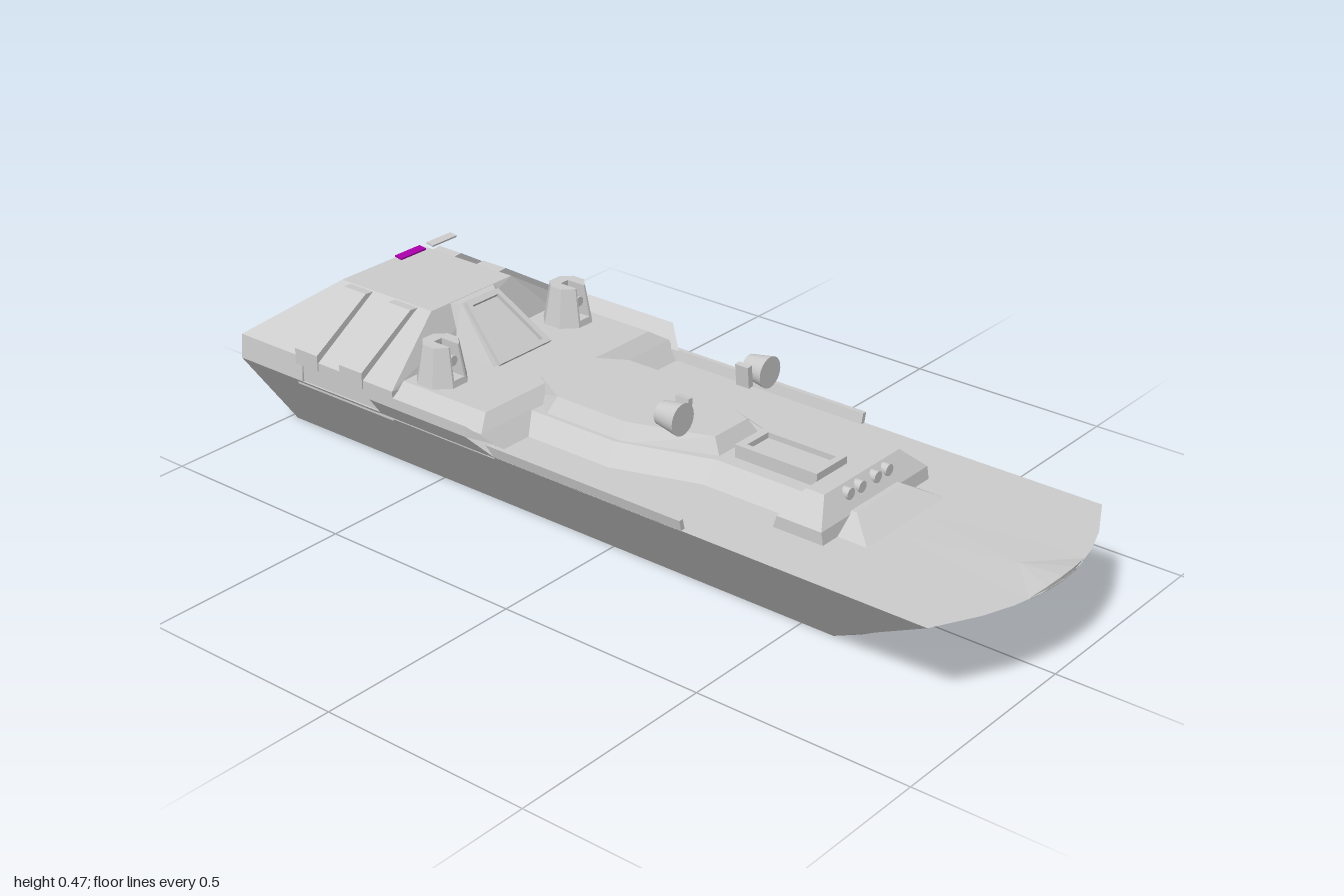
import * as THREE from 'three';

const grey = new THREE.MeshStandardMaterial({ color: 0xcccccc, flatShading: true });
const smooth = new THREE.MeshStandardMaterial({ color: 0xcccccc });
const purple = new THREE.MeshStandardMaterial({ color: 0xaa00aa });

// Mirror a half outline of [x, z], listed back to front on the +x side.
const mirror = (half) => [...half, ...half.filter((p) => p[0] > 0).reverse().map(([x, z]) => [-x, z])];

// Skin stacked level outlines, each { y, pts }, and close both ends with a fan.
function loft(levels) {
  const rings = levels.map(({ y, pts }) => pts.map(([x, z]) => new THREE.Vector3(x, typeof y === 'function' ? y(x, z) : y, z)));
  const v = [];
  const tri = (...ps) => ps.forEach((p) => v.push(p.x, p.y, p.z));
  const middle = (r) => r.reduce((s, p) => s.add(p), new THREE.Vector3()).divideScalar(r.length);
  const n = rings[0].length, last = rings[rings.length - 1];
  const c0 = middle(rings[0]), c1 = middle(last);
  for (let i = 0; i < n; i++) {
    const j = (i + 1) % n;
    tri(c0, rings[0][i], rings[0][j]);
    tri(c1, last[j], last[i]);
    for (let k = 0; k + 1 < rings.length; k++) {
      const lo = rings[k], hi = rings[k + 1];
      tri(lo[i], hi[i], lo[j]);
      tri(lo[j], hi[i], hi[j]);
    }
  }
  const g = new THREE.BufferGeometry();
  g.setAttribute('position', new THREE.Float32BufferAttribute(v, 3));
  g.computeVertexNormals();
  return g;
}

const shapeOf = (pts) => new THREE.Shape(pts.map(([x, y]) => new THREE.Vector2(x, y)));
const pathOf = (pts) => new THREE.Path(pts.map(([x, y]) => new THREE.Vector2(x, y)));

// Extrude an x-y section from z0 forward to z1.
function section(shape, z0, z1) {
  const g = new THREE.ExtrudeGeometry(shape, { depth: z1 - z0, bevelEnabled: false, curveSegments: 10 });
  return g.translate(0, 0, z0);
}

// Move every vertex by a rule.
function bend(g, rule) {
  const p = g.attributes.position, v = new THREE.Vector3();
  for (let i = 0; i < p.count; i++) {
    v.fromBufferAttribute(p, i);
    rule(v);
    p.setXYZ(i, v.x, v.y, v.z);
  }
  g.computeVertexNormals();
  return g;
}

export function createModel() {
  const model = new THREE.Group();
  const add = (name, geometry, material = grey, parent = model) => {
    const m = new THREE.Mesh(geometry, material);
    m.name = name;
    parent.add(m);
    return m;
  };
  const block = (name, levels) => add(name, loft(levels.map(([y, half]) => ({ y, pts: mirror(half) }))));

  // Hull with flared sides and a raked, rounded bow
  block('hull', [
    [0, [[0.16, -0.8], [0.16, 0.58], [0.12, 0.62], [0.085, 0.645], [0.045, 0.66], [0, 0.665]]],
    [0.212, [[0.315, -0.8], [0.315, 0.9], [0.21, 0.955], [0.14, 0.98], [0.07, 0.995], [0, 1]]],
  ]);
  const bow = mirror([[0.05, 0.66], [0.1, 0.9], [0.1, 0.987], [0.05, 0.996], [0, 0.999]]);
  add('bowMound', loft([
    { y: 0.208, pts: bow },
    { y: (x, z) => 0.212 + (z > 0.7 ? 0.009 * (1 - (x / 0.1) ** 2) : 0), pts: bow },
  ]));

  // Stern with an open bay and four exhaust holes; the upper part rakes forward
  const outline = mirror([[0.16, 0], [0.315, 0.212], [0.31, 0.27], [0.13, 0.385]]);
  const stern = shapeOf(outline);
  stern.holes.push(pathOf(mirror([[0.2, 0.14], [0.24, 0.24], [0.222, 0.27], [0.125, 0.36]])));
  const exhausts = [-0.135, -0.055, 0.055, 0.135];
  for (const x of exhausts) stern.holes.push(new THREE.Path().absarc(x, 0.07, 0.027, 0, Math.PI * 2));
  add('stern', bend(section(stern, -0.98, -0.78), (v) => {
    if (v.z < -0.9 && v.y > 0.27) v.z += (v.y - 0.27) * 1.3;
  }));

  // Sloping bay floor with four fins
  add('bayRamp', loft([
    { y: 0.12, pts: mirror([[0.2, -0.97], [0.2, -0.78]]) },
    { y: (x, z) => (z < -0.9 ? 0.145 : 0.235), pts: mirror([[0.2, -0.97], [0.23, -0.78]]) },
  ]));
  for (const x of [-0.11, -0.037, 0.037, 0.11]) {
    const fin = add('bayFin', new THREE.BoxGeometry(0.012, 0.018, 0.235));
    fin.position.set(x, 0.197, -0.892);
    fin.rotation.x = -0.44;
  }

  // Engine housing with a sloped front and raised ribs on its shoulders
  const housing = shapeOf(mirror([[0.31, 0.2], [0.31, 0.27], [0.13, 0.385]]));
  add('engineHousing', bend(section(housing, -0.8, -0.5), (v) => {
    if (v.z > -0.6 && v.y > 0.28) v.z -= 0.05;
  }));
  for (const s of [1, -1]) {
    const rib = [[0.125, 0.383], [0.155, 0.385], [0.313, 0.288], [0.313, 0.25], [0.3, 0.25]].map(([x, y]) => [x * s, y]);
    for (const z of [-0.8, -0.66]) add('shoulderRib', section(shapeOf(rib), z, z + 0.07));
  }

  // Bridge with a framed, sunken window
  block('bridge', [
    [0.275, [[0.1, -0.58], [0.1, -0.52], [0.095, -0.395]]],
    [0.384, [[0.095, -0.58], [0.07, -0.55], [0.055, -0.53]]],
  ]);
  const frame = shapeOf(mirror([[0.084, 0], [0.052, 0.165]]));
  frame.holes.push(pathOf(mirror([[0.066, 0.012], [0.042, 0.152]])));
  const window = add('windowFrame', section(frame, 0, 0.01));
  window.position.set(0, 0.279, -0.395);
  window.rotation.x = -0.9;

  // Middle deck, chamfered at the front and sides
  block('middleDeck', [
    [0.205, [[0.312, -0.54], [0.312, -0.2]]],
    [0.252, [[0.312, -0.54], [0.312, -0.235]]],
    [0.28, [[0.27, -0.54], [0.27, -0.26]]],
  ]);

  // Flared side plates and low deck rails
  for (const s of [1, -1]) {
    const flip = (pts) => shapeOf(pts.map(([x, y]) => [x * s, y]));
    add('sidePlate', bend(section(flip([[0.3, 0.212], [0.315, 0.212], [0.345, 0.254], [0.345, 0.279], [0.305, 0.236]]), -0.535, -0.2), (v) => {
      if (v.z > -0.3 && v.y > 0.24) v.z -= 0.05;
    }));
    add('deckRail', section(flip([[0.303, 0.21], [0.314, 0.21], [0.32, 0.236], [0.309, 0.236]]), -0.22, 0.31));
  }

  // Forward superstructure with a raised centre platform
  block('superstructure', [
    [0.21, [[0.2, -0.27], [0.2, 0.02], [0.135, 0.22], [0.135, 0.47]]],
    [0.25, [[0.155, -0.27], [0.155, 0], [0.085, 0.22], [0.085, 0.47]]],
  ]);
  block('centrePlatform', [
    [0.245, [[0.08, -0.295], [0.148, -0.2], [0.148, 0.01], [0.07, 0.215]]],
    [0.283, [[0.065, -0.285], [0.12, -0.19], [0.12, 0], [0.055, 0.19]]],
  ]);

  // Deck hatch: rim around a sunken panel
  const rim = shapeOf([[-0.052, -0.45], [0.052, -0.45], [0.052, -0.24], [-0.052, -0.24]]);
  rim.holes.push(pathOf([[-0.036, -0.434], [0.036, -0.434], [0.036, -0.26], [-0.036, -0.26]]));
  add('hatchRim', section(rim, 0.245, 0.28).rotateX(-Math.PI / 2));
  add('hatchPanel', new THREE.BoxGeometry(0.075, 0.02, 0.18)).position.set(0, 0.257, 0.347);

  // Front console with four lamps and a wedge ahead of it
  block('console', [
    [0.21, [[0.185, 0.44], [0.185, 0.565]]],
    [0.24, [[0.185, 0.45], [0.185, 0.56]]],
    [0.29, [[0.13, 0.48], [0.13, 0.525]]],
  ]);
  block('consoleWedge', [
    [0.21, [[0.14, 0.53], [0.14, 0.64]]],
    [0.245, [[0.08, 0.53], [0.08, 0.57]]],
  ]);
  for (const x of [-0.067, -0.027, 0.027, 0.067]) {
    add('consoleLamp', new THREE.CylinderGeometry(0.013, 0.013, 0.02, 16).rotateX(Math.PI / 2), smooth).position.set(x, 0.273, 0.536);
  }

  // Gun towers: tapered octagons with a slot for the barrel
  const octagon = (r) => Array.from({ length: 8 }, (_, i) => {
    const a = -Math.PI / 2 + Math.PI / 8 + (i * Math.PI) / 4;
    return [r * Math.cos(a), r * Math.sin(a)];
  });
  const slotted = shapeOf([...octagon(0.056), [-0.016, -0.0517], [-0.016, 0.012], [0.016, 0.012], [0.016, -0.0517]]);
  for (const s of [1, -1]) {
    const tower = new THREE.Group();
    tower.name = 'gunTower';
    tower.position.set(0.207 * s, 0.275, -0.448);
    add('towerBase', new THREE.CylinderGeometry(0.056, 0.06, 0.02, 8).rotateY(Math.PI / 8), grey, tower).position.y = 0.01;
    add('towerBody', bend(section(slotted, 0, 0.075).rotateX(-Math.PI / 2), (v) => {
      const k = 1 - 3.3 * v.y;
      v.x *= k;
      v.z *= k;
    }), grey, tower).position.y = 0.02;
    add('barrel', new THREE.CylinderGeometry(0.012, 0.012, 0.05, 12).rotateX(Math.PI / 2), smooth, tower).position.set(0, 0.058, 0.012);
    model.add(tower);
  }

  // Hovering searchlights with side brackets
  for (const s of [1, -1]) {
    add('searchlight', new THREE.CylinderGeometry(0.036, 0.026, 0.056, 24).rotateX(Math.PI / 2), smooth).position.set(0.147 * s, 0.353, 0.15);
    const bracket = add('searchlightBracket', new THREE.BoxGeometry(0.014, 0.05, 0.034));
    bracket.position.set(0.102 * s, 0.353, 0.143);
    bracket.rotation.z = 0.1 * s;
    add('bracketPin', new THREE.BoxGeometry(0.02, 0.018, 0.018)).position.set(0.114 * s, 0.353, 0.143);
  }

  // Floating marker bars
  for (const s of [1, -1]) {
    const bar = add('markerBar', new THREE.BoxGeometry(0.078, 0.004, 0.02), s < 0 ? purple : grey);
    bar.position.set(0.05 * s, 0.463, -0.688);
    bar.rotation.x = 0.15;
  }
  return model;
}
